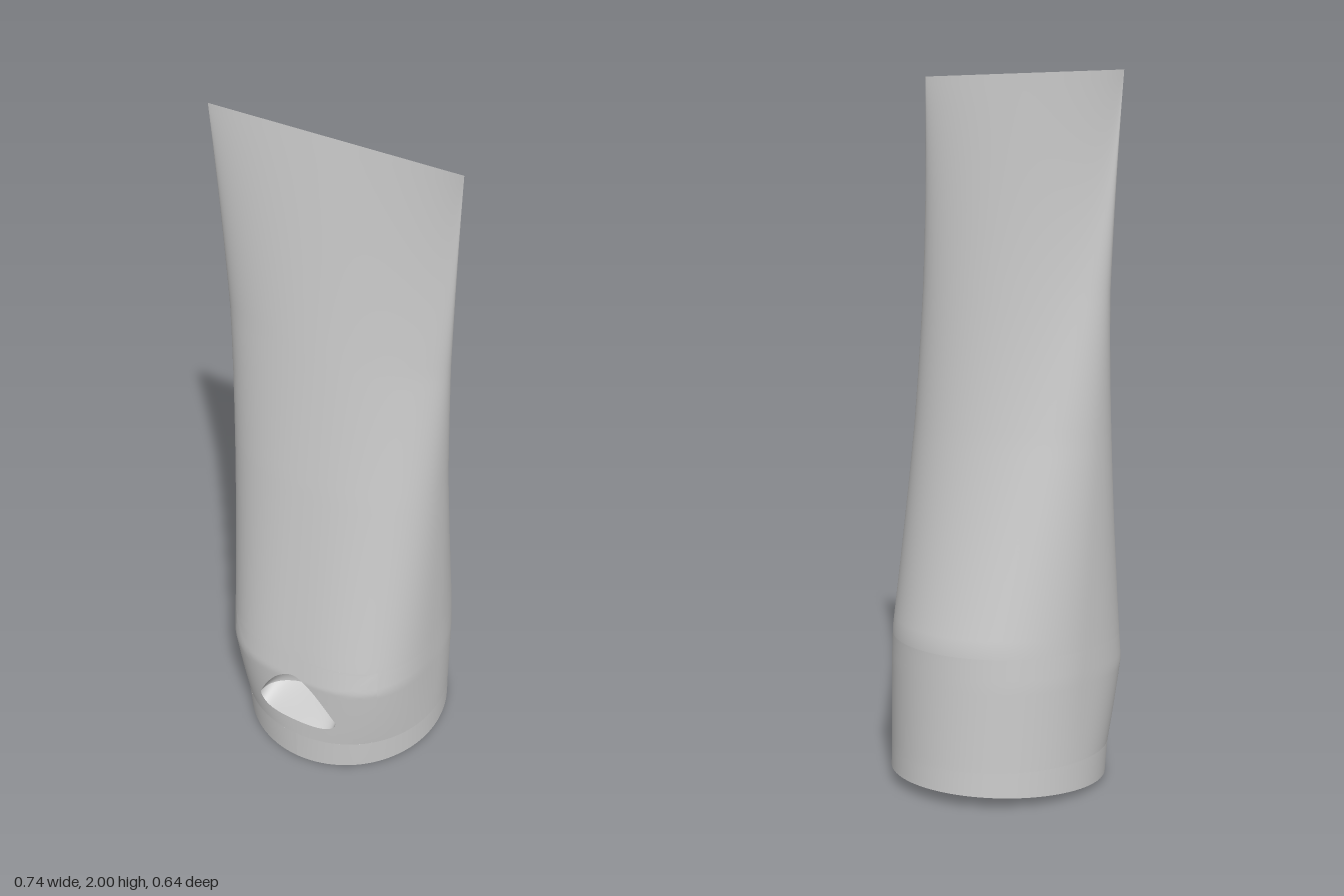
import * as THREE from 'three';

// Body stations: y, half width, front z, back z, z of the side edges, squareness of the front
const STATIONS = [
  [0, 0.307, 0.31, -0.32, 0, 2],
  [0.1, 0.308, 0.313, -0.316, 0, 2.1],
  [0.34, 0.315, 0.324, -0.305, 0, 2.8],
  [0.44, 0.316, 0.312, -0.3, 0.01, 2.7],
  [1, 0.326, 0.236, -0.16, 0.045, 2.3],
  [1.4, 0.338, 0.177, -0.063, 0.06, 2],
  [2, 0.37, 0.085, 0.085, 0.085, 2],
];

function station(y) {
  let i = 0;
  while (i < STATIONS.length - 2 && y > STATIONS[i + 1][0]) i++;
  const a = STATIONS[i], b = STATIONS[i + 1];
  const t = (y - a[0]) / (b[0] - a[0]);
  return a.map((v, k) => v + (b[k] - v) * t);
}

// Point on the body at angle a (0 = front, towards +x) and height y
function surface(a, y) {
  const [, w, zf, zb, cz, nf] = station(y);
  const s = Math.sin(a), c = Math.cos(a);
  const n = c > 0 ? nf : 2;
  const r = (Math.abs(s) ** n + Math.abs(c) ** n) ** (-1 / n);
  const z = cz + r * c * (c > 0 ? zf - cz : cz - zb);
  // the foot is cut at a slight slant, rising to the back
  const slant = 0.035 * (0.31 - z) / 0.63 * Math.max(0, 1 - y / 0.1);
  return [w * r * s, y + slant, z];
}

// Angle of the front surface point at a given x and y
function angleAt(x, y) {
  const [, w, , , , n] = station(y);
  const t = Math.abs(x / w);
  return Math.atan2(x / w, (1 - t ** n) ** (1 / n));
}

// Surface from f(u, v), u to the right and v up as seen from outside
function grid(f, nu, nv) {
  const pos = [], index = [];
  for (let j = 0; j <= nv; j++)
    for (let i = 0; i <= nu; i++) pos.push(...f(i / nu, j / nv));
  for (let j = 0; j < nv; j++)
    for (let i = 0; i < nu; i++) {
      const p = j * (nu + 1) + i, q = p + nu + 1;
      index.push(p, p + 1, q + 1, p, q + 1, q);
    }
  const g = new THREE.BufferGeometry();
  g.setAttribute('position', new THREE.Float32BufferAttribute(pos, 3));
  g.setIndex(index);
  g.computeVertexNormals();
  return g;
}

// Mouth outline: parabolic arch above a rounded lip
const MW = 0.132, LINE = 0.2;
const arch = (x) => LINE + 0.152 * (1 - Math.min(1, Math.abs(x / MW)) ** 1.9);
const lip = (x) => LINE - 0.04 * Math.sqrt(Math.max(0, 1 - Math.abs(x / MW) ** 6));

export function createModel() {
  const group = new THREE.Group();
  const material = new THREE.MeshStandardMaterial({ color: 0xcccccc, side: THREE.DoubleSide });
  const add = (name, geometry) => {
    const mesh = new THREE.Mesh(geometry, material);
    mesh.name = name;
    group.add(mesh);
  };

  // Tube walls, leaving a window at the front for the mouth
  const TAU = Math.PI * 2, A = Math.PI / 4, Y0 = 0.1, Y1 = 0.42;
  const band = (y0, y1, gap, nu, nv) => grid((u, v) =>
    surface(gap + u * (TAU - 2 * gap), y0 + (y1 - y0) * v), nu, nv);
  add('foot', band(0, Y0, 0, 96, 5));
  add('lowerBody', band(Y0, Y1, A, 72, 16));
  add('taperedBody', band(Y1, 2, 0, 96, 64));

  // Front panel running from the window edge in to the mouth outline
  add('mouthSurround', grid((u, v) => {
    const c = Math.cos(u * TAU), s = Math.sin(u * TAU);
    const m = Math.max(Math.abs(c), Math.abs(s));
    const x = MW * c;
    const y = s >= 0 ? arch(x) : lip(x);
    const outerY = (Y0 + Y1) / 2 + (Y1 - Y0) / 2 * s / m;
    const a = THREE.MathUtils.lerp(A * c / m, angleAt(x, y), v);
    return surface(a, THREE.MathUtils.lerp(outerY, y, v));
  }, 96, 12));

  // Scooped mouth: sloping floor and curved ceiling meeting in a level line
  const scoop = (edge, lower) => grid((u, v) => {
    const x = -MW * Math.cos(u * Math.PI);
    const depth = 0.12 * Math.sin(u * Math.PI);
    const y = lower ? edge(x) + (LINE - edge(x)) * v : LINE + (edge(x) - LINE) * v;
    const z = surface(angleAt(x, y), y)[2];
    return [x, y, z - depth * (lower ? v : Math.sqrt(1 - v * v))];
  }, 48, 16);
  add('mouthFloor', scoop(lip, true));
  add('mouthCeiling', scoop(arch, false));

  // Flat underside
  add('base', grid((u, v) => {
    const p = surface(u * TAU, 0);
    const k = v;
    return [p[0] * k, 0.0175 + (p[1] - 0.0175) * k, -0.005 + (p[2] + 0.005) * k];
  }, 96, 1));

  return group;
}
